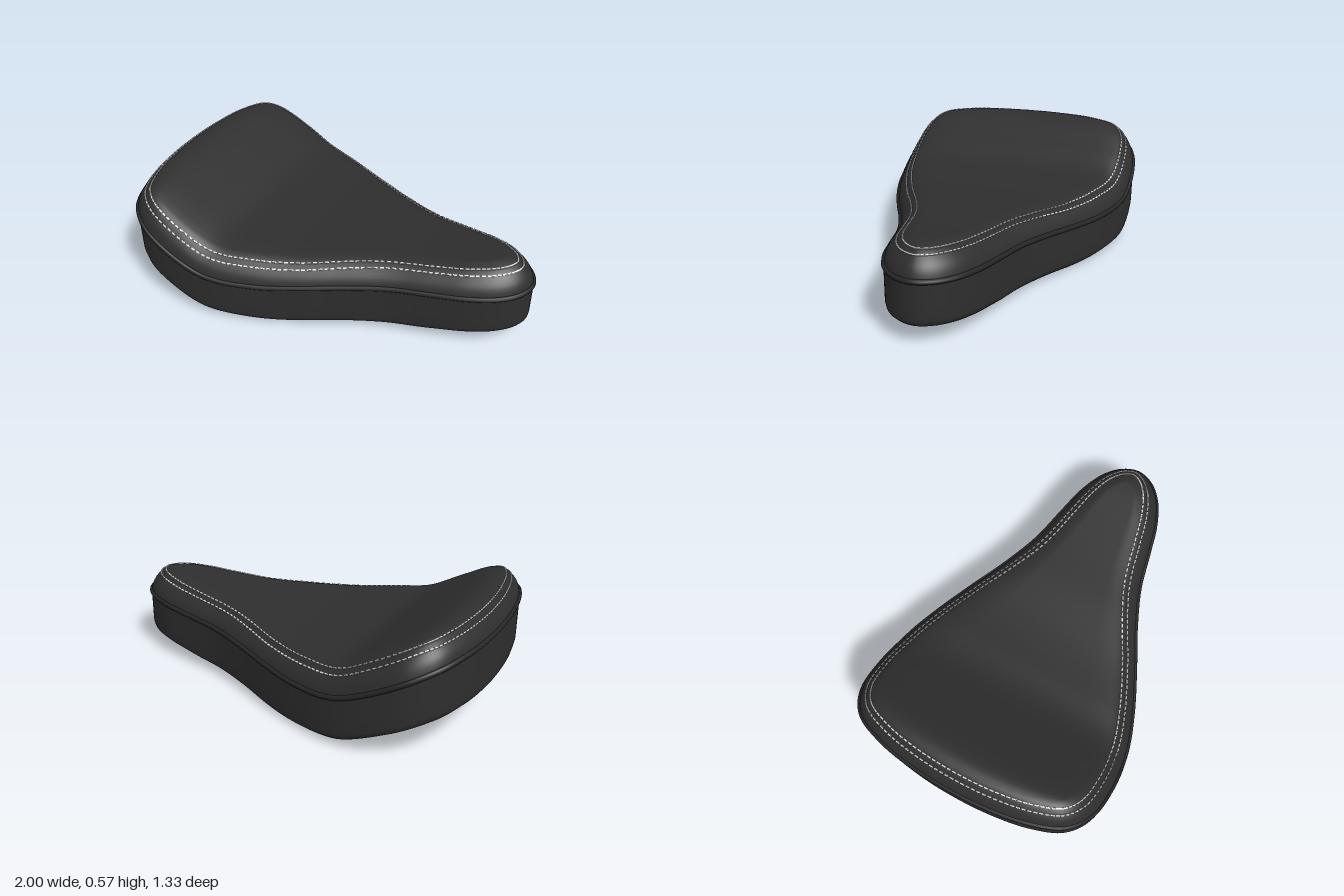
import * as THREE from 'three';
import { mergeGeometries } from 'three/addons/utils/BufferGeometryUtils.js';

// Smooth height profile through [x, y] pairs (cubic Hermite)
function profile(p) {
  const slope = i => {
    const a = p[Math.max(i - 1, 0)], b = p[Math.min(i + 1, p.length - 1)];
    return (b[1] - a[1]) / (b[0] - a[0]);
  };
  return x => {
    x = THREE.MathUtils.clamp(x, p[0][0], p[p.length - 1][0]);
    let i = 0;
    while (i < p.length - 2 && x > p[i + 1][0]) i++;
    const h = p[i + 1][0] - p[i][0], t = (x - p[i][0]) / h, t2 = t * t, t3 = t2 * t;
    return (2 * t3 - 3 * t2 + 1) * p[i][1] + (t3 - 2 * t2 + t) * h * slope(i)
      + (3 * t2 - 2 * t3) * p[i + 1][1] + (t3 - t2) * h * slope(i + 1);
  };
}

const topY = profile([[-1, 0.57], [-0.93, 0.583], [-0.86, 0.577], [-0.78, 0.55], [-0.6, 0.455], [-0.43, 0.372],
  [-0.25, 0.353], [-0.05, 0.347], [0.2, 0.362], [0.4, 0.375], [0.6, 0.396], [0.8, 0.423], [0.9, 0.432], [1, 0.435]]);
const seamY = profile([[-1, 0.47], [-0.93, 0.456], [-0.85, 0.425], [-0.74, 0.372], [-0.58, 0.295], [-0.43, 0.24],
  [-0.2, 0.222], [0, 0.23], [0.4, 0.262], [0.8, 0.292], [1, 0.303]]);
const baseY = profile([[-1, 0.202], [-0.93, 0.2], [-0.85, 0.184], [-0.7, 0.122], [-0.5, 0.04], [-0.4, 0.018],
  [-0.1, 0], [0.2, 0.017], [0.5, 0.036], [0.7, 0.06], [0.9, 0.08], [1, 0.086]]);
// How far the cushion has risen at a given inset from the rim
const rise = profile([[0.008, 0], [0.016, 0.22], [0.03, 0.43], [0.055, 0.65], [0.085, 0.84], [0.12, 0.95], [0.16, 1]]);

// Plan outline, one half mirrored into a closed curve
const half = [[-0.99, 0.2], [-0.955, 0.4], [-0.89, 0.555], [-0.78, 0.636], [-0.6, 0.662], [-0.4, 0.643],
  [-0.2, 0.58], [0, 0.492], [0.2, 0.395], [0.4, 0.315], [0.6, 0.268], [0.76, 0.228], [0.89, 0.168], [0.97, 0.09]];
const v = ([x, z]) => new THREE.Vector3(x, 0, z);
const outline = new THREE.CatmullRomCurve3([
  v([-1, 0]), ...half.map(v), v([1, 0]), ...half.map(([x, z]) => v([x, -z])).reverse(),
], true);
outline.arcLengthDivisions = 1000;

// Point on the outline moved inward by d
function inset(u, d) {
  const p = outline.getPointAt(u), t = outline.getTangentAt(u);
  return p.add(new THREE.Vector3(t.z, 0, -t.x).multiplyScalar(d));
}

function cushionPoint(u, d) {
  const p = inset(u, d);
  p.y = THREE.MathUtils.lerp(seamY(p.x), topY(p.x), rise(d));
  return p;
}

// Point between the inset rim (s = 0) and the centre line (s = 1)
function towardSpine(u, d, s) {
  const p = inset(u, d);
  p.x = THREE.MathUtils.lerp(p.x, THREE.MathUtils.clamp(p.x, -0.68, 0.74), s);
  p.z *= 1 - s;
  return p;
}

const N = 180;
const ring = f => Array.from({ length: N }, (_, i) => f((i % N) / N));

// Smooth skin over closed rings
function loft(rings) {
  const pos = [], idx = [];
  rings.forEach(r => r.forEach(p => pos.push(p.x, p.y, p.z)));
  for (let k = 0; k < rings.length - 1; k++) {
    for (let i = 0; i < N; i++) {
      const j = (i + 1) % N, a = k * N + i, b = k * N + j;
      idx.push(a, b, b + N, a, b + N, a + N);
    }
  }
  const g = new THREE.BufferGeometry();
  g.setAttribute('position', new THREE.Float32BufferAttribute(pos, 3));
  g.setIndex(idx);
  g.computeVertexNormals();
  return g;
}

function stitchRow(depth) {
  const count = 190, parts = [];
  const at = u => {
    u = (u + 1) % 1;
    const x = outline.getPointAt(u).x;
    const d = depth + 0.012 * THREE.MathUtils.smoothstep(x, 0, 0.4);
    return [cushionPoint(u, d), cushionPoint(u, d + 0.006)];
  };
  for (let i = 0; i < count; i++) {
    const u = i / count, [p, q] = at(u);
    const along = at(u + 0.002)[0].sub(at(u - 0.002)[0]).normalize();
    const normal = along.clone().cross(q.sub(p)).normalize();
    const side = along.clone().cross(normal);
    const m = new THREE.Matrix4().makeBasis(along, normal, side);
    m.setPosition(p.addScaledVector(normal, 0.001));
    parts.push(new THREE.BoxGeometry(0.019, 0.006, 0.007).applyMatrix4(m));
  }
  return mergeGeometries(parts);
}

export function createModel() {
  const material = (name, color) => {
    const m = new THREE.MeshStandardMaterial({ color });
    m.name = name;
    return m;
  };
  const leather = material('black leather', 0x2e2e2e);
  const trim = material('dark piping', 0x262626);
  const thread = material('pale thread', 0xd8d8d8);

  const group = new THREE.Group();
  group.name = 'saddle';
  const add = (name, geometry, mat) => {
    const mesh = new THREE.Mesh(geometry, mat);
    mesh.name = name;
    group.add(mesh);
  };

  // Underside, rounded lower edge and side wall
  const baseRings = [1, 0.8, 0.6, 0.4, 0.2, 0].map(s => ring(u => {
    const p = towardSpine(u, 0.08, s);
    return p.setY(baseY(p.x));
  }));
  for (const [d, lift] of [[0.045, 0.002], [0.025, 0.008], [0.012, 0.02], [0.007, 0.042]]) {
    baseRings.push(ring(u => {
      const p = inset(u, d);
      return p.setY(baseY(p.x) + lift);
    }));
  }
  for (const t of [0.33, 0.66, 1]) {
    baseRings.push(ring(u => {
      const p = inset(u, 0.007);
      return p.setY(THREE.MathUtils.lerp(baseY(p.x) + 0.042, seamY(p.x), t));
    }));
  }
  add('base', loft(baseRings), leather);

  // Padded top
  const topRings = [0.008, 0.012, 0.017, 0.024, 0.032, 0.043, 0.055, 0.07, 0.085, 0.1, 0.12]
    .map(d => ring(u => cushionPoint(u, d)));
  for (const s of [0.08, 0.18, 0.3, 0.45, 0.6, 0.8, 1]) {
    topRings.push(ring(u => {
      const p = towardSpine(u, 0.12, s);
      return p.setY(THREE.MathUtils.lerp(seamY(p.x), topY(p.x), Math.min(1, 0.95 + s * 0.28)));
    }));
  }
  add('cushion', loft(topRings), leather);

  // Piping along the seam
  const seam = new THREE.CatmullRomCurve3(ring(u => {
    const p = inset(u, 0.01);
    return p.setY(seamY(p.x));
  }), true);
  add('piping', new THREE.TubeGeometry(seam, 240, 0.0125, 10, true), trim);

  // Twin rows of stitching
  add('outerStitching', stitchRow(0.055), thread);
  add('innerStitching', stitchRow(0.082), thread);
  return group;
}
